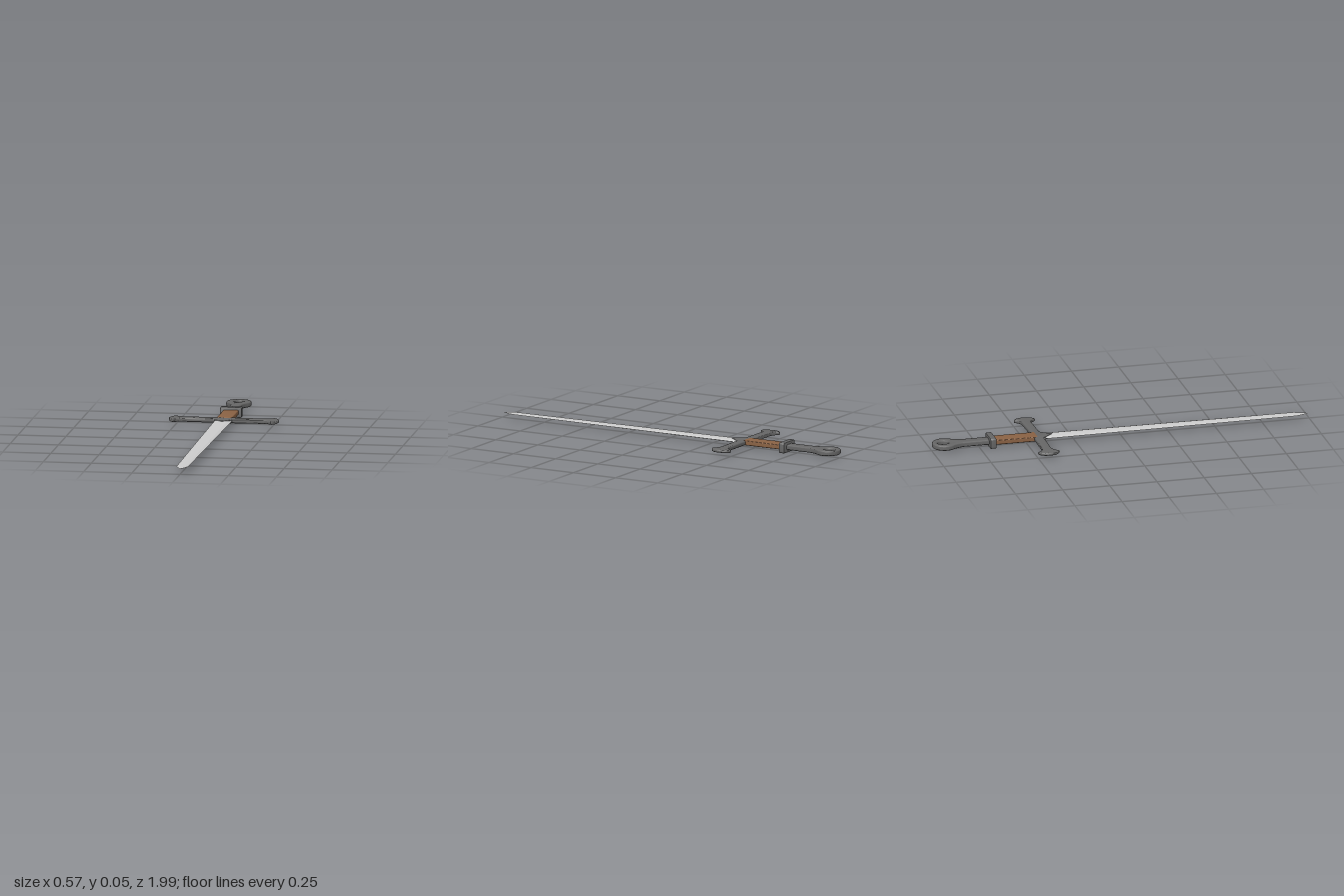
import * as THREE from 'three';
import { toCreasedNormals } from 'three/addons/utils/BufferGeometryUtils.js';

const MID = 0.0275; // height of the sword's flat mid-plane
const steel = new THREE.MeshStandardMaterial({ color: 0xcccccc });
const iron = new THREE.MeshStandardMaterial({ color: 0x666666 });
const leather = new THREE.MeshStandardMaterial({ color: 0x8a6244 });

// Extrudes an outline drawn in x/z to a rounded slab centred on the mid-plane
function slab(shape, thickness, bevel, steps = 3) {
  const geo = new THREE.ExtrudeGeometry(shape, {
    depth: thickness - 2 * bevel, bevelEnabled: true, bevelThickness: bevel,
    bevelSize: bevel, bevelOffset: -bevel, bevelSegments: steps, curveSegments: 14,
  });
  geo.translate(0, 0, bevel - thickness / 2);
  geo.rotateX(Math.PI / 2);
  return geo;
}

function rectangle(halfWidth, z0, z1) {
  const s = new THREE.Shape();
  s.moveTo(-halfWidth, z0);
  s.lineTo(halfWidth, z0);
  s.lineTo(halfWidth, z1);
  s.lineTo(-halfWidth, z1);
  s.closePath();
  return s;
}

// Lens-like sections lofted to a point
function bladeGeometry() {
  const stations = [[-0.45, 0.045, 0.0075], [0.25, 0.038, 0.006], [0.925, 0.03, 0.0035], [0.96, 0.018, 0.003], [0.995, 0.0005, 0.0005]];
  const section = [[1, 0], [0.6, 0.75], [0, 1], [-0.6, 0.75], [-1, 0], [-0.6, -0.75], [0, -1], [0.6, -0.75]];
  const n = section.length, pos = [], idx = [];
  for (const [z, w, t] of stations) for (const [a, b] of section) pos.push(a * w, b * t, z);
  for (let i = 0; i < stations.length - 1; i++) {
    for (let j = 0; j < n; j++) {
      const a = i * n + j, b = i * n + (j + 1) % n;
      idx.push(a, b, b + n, a, b + n, a + n);
    }
  }
  const last = (stations.length - 1) * n;
  for (let j = 1; j < n - 1; j++) idx.push(0, j + 1, j, last, last + j, last + j + 1);
  const geo = new THREE.BufferGeometry();
  geo.setAttribute('position', new THREE.Float32BufferAttribute(pos, 3));
  geo.setIndex(idx);
  return geo;
}

// Straight arms with flared, rounded ends and a pointed centre
function guardGeometry() {
  const s = new THREE.Shape();
  s.moveTo(0, -0.465);
  s.lineTo(0.04, -0.465);
  s.lineTo(0.21, -0.468);
  s.quadraticCurveTo(0.235, -0.473, 0.25, -0.5);
  s.bezierCurveTo(0.297, -0.49, 0.297, -0.4, 0.25, -0.388);
  s.quadraticCurveTo(0.235, -0.412, 0.21, -0.42);
  s.lineTo(0.045, -0.417);
  s.quadraticCurveTo(0.02, -0.39, 0, -0.36);
  s.quadraticCurveTo(-0.02, -0.39, -0.045, -0.417);
  s.lineTo(-0.21, -0.42);
  s.quadraticCurveTo(-0.235, -0.412, -0.25, -0.388);
  s.bezierCurveTo(-0.297, -0.4, -0.297, -0.49, -0.25, -0.5);
  s.quadraticCurveTo(-0.235, -0.473, -0.21, -0.468);
  s.lineTo(-0.04, -0.465);
  s.closePath();
  const geo = slab(s, 0.023, 0.008);
  // Thin the arms towards their ends
  const p = geo.attributes.position;
  for (let i = 0; i < p.count; i++) {
    const k = THREE.MathUtils.clamp((Math.abs(p.getX(i)) - 0.2) / 0.085, 0, 1);
    p.setY(i, p.getY(i) * (1 - 0.35 * k));
  }
  return geo;
}

// Slim upper handle widening into a ring
function pommelGeometry() {
  const s = new THREE.Shape(), r = 0.065, c = -0.932;
  s.moveTo(0.029, -0.68);
  s.lineTo(-0.029, -0.68);
  s.lineTo(-0.029, -0.83);
  s.quadraticCurveTo(-0.032, -0.862, -r * Math.cos(0.7), c + r * Math.sin(0.7));
  s.absarc(0, c, r, Math.PI - 0.7, 2 * Math.PI + 0.7, false);
  s.quadraticCurveTo(0.032, -0.862, 0.029, -0.83);
  s.closePath();
  const hole = new THREE.Path();
  hole.absellipse(0, -0.94, 0.024, 0.03, 0, Math.PI * 2, true);
  s.holes.push(hole);
  return slab(s, 0.028, 0.01, 4);
}

export function createModel() {
  const sword = new THREE.Group();
  sword.name = 'sword';
  const add = (name, geo, material, crease = 0.6) => {
    const mesh = new THREE.Mesh(toCreasedNormals(geo, crease), material);
    mesh.name = name;
    mesh.position.y = MID;
    sword.add(mesh);
  };

  add('blade', bladeGeometry(), steel, 0.05);
  add('crossguard', guardGeometry(), iron);
  add('grip', slab(rectangle(0.04, -0.685, -0.445), 0.026, 0.007), leather);
  add('ringPommel', pommelGeometry(), iron);

  // Collar: rounded in x/y, slightly flared at the pommel edge
  const collar = new THREE.Shape();
  const w = 0.0565, h = MID, q = 0.01;
  collar.moveTo(-w + q, -h);
  collar.lineTo(w - q, -h);
  collar.quadraticCurveTo(w, -h, w, -h + q);
  collar.lineTo(w, h - q);
  collar.quadraticCurveTo(w, h, w - q, h);
  collar.lineTo(-w + q, h);
  collar.quadraticCurveTo(-w, h, -w, h - q);
  collar.lineTo(-w, -h + q);
  collar.quadraticCurveTo(-w, -h, -w + q, -h);
  const collarGeo = new THREE.ExtrudeGeometry(collar, {
    depth: 0.024, bevelThickness: 0.004, bevelSize: 0.004, bevelOffset: -0.004, bevelSegments: 2, curveSegments: 5,
  });
  collarGeo.translate(0, 0, -0.698);
  add('collar', collarGeo, iron);

  return sword;
}
